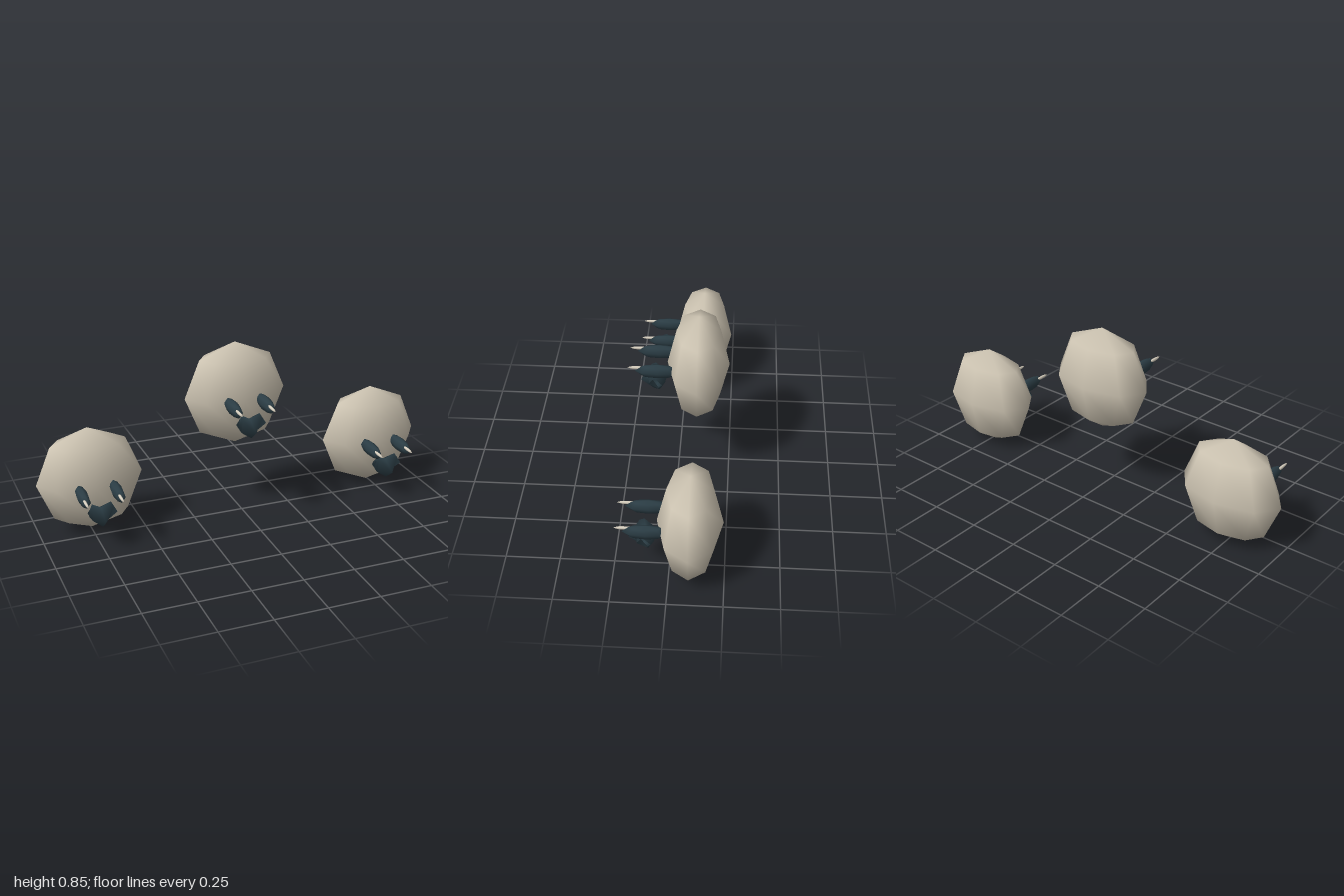
import * as THREE from 'three';

const fur = new THREE.MeshStandardMaterial({ color: 0xcdc4b2 });
fur.name = 'warm grey';
const dark = new THREE.MeshStandardMaterial({ color: 0x2b3d45, side: THREE.DoubleSide });
dark.name = 'dark slate';
const light = new THREE.MeshStandardMaterial({ color: 0xd8d0c0 });
light.name = 'pale glint';

// Low-poly smooth ellipsoid
function ellipsoid(name, material, radii, position) {
  const geometry = new THREE.SphereGeometry(1, 8, 4);
  geometry.scale(...radii);
  const mesh = new THREE.Mesh(geometry, material);
  mesh.name = name;
  mesh.position.set(...position);
  return mesh;
}

// Lobed snout, open at both sides: four-point sections (top, front, bottom, back)
function snoutGeometry() {
  const middle = [[0, -0.065, 0.105], [0, -0.11, 0.185], [0, -0.157, 0.124], [0, -0.087, 0.06]];
  const lobe = [[0.045, -0.038, 0.115], [0.05, -0.052, 0.138], [0.037, -0.138, 0.092], [0.045, -0.09, 0.066]];
  const rim = [[0.056, -0.061, 0.117], [0.068, -0.082, 0.142], [0.042, -0.13, 0.1], [0.06, -0.097, 0.08]];
  const mirror = (section) => section.map(([x, y, z]) => [-x, y, z]);
  const sections = [mirror(rim), mirror(lobe), middle, lobe, rim];
  const index = [];
  for (let s = 0; s < sections.length - 1; s++) {
    for (let i = 0; i < 4; i++) {
      const a = s * 4 + i, b = s * 4 + (i + 1) % 4;
      const c = a + 4, d = b + 4;
      // Diagonals mirrored across the middle
      if (s < 2) index.push(a, b, c, b, d, c);
      else index.push(a, b, d, a, d, c);
    }
  }
  const geometry = new THREE.BufferGeometry();
  geometry.setAttribute('position', new THREE.Float32BufferAttribute(sections.flat(2), 3));
  geometry.setIndex(index);
  geometry.computeVertexNormals();
  return geometry;
}

function createHead() {
  const head = new THREE.Group();
  head.name = 'head';
  head.add(ellipsoid('skull', fur, [0.258, 0.26, 0.148], [0, 0, -0.092]));
  for (const [side, x] of [['left', 0.082], ['right', -0.082]]) {
    head.add(ellipsoid(side + 'Eye', dark, [0.027, 0.036, 0.105], [x, 0, 0.1]));
    head.add(ellipsoid(side + 'EyeGlint', light, [0.007, 0.008, 0.05], [x - 0.009, 0.011, 0.193]));
  }
  const snout = new THREE.Mesh(snoutGeometry(), dark);
  snout.name = 'snout';
  head.add(snout);
  return head;
}

export function createModel() {
  const model = new THREE.Group();
  model.name = 'threeHeads';
  // One raised head between two lower ones
  for (const [x, y] of [[-0.742, 0.26], [0, 0.59], [0.742, 0.26]]) {
    const head = createHead();
    head.position.set(x, y, 0);
    model.add(head);
  }
  return model;
}
